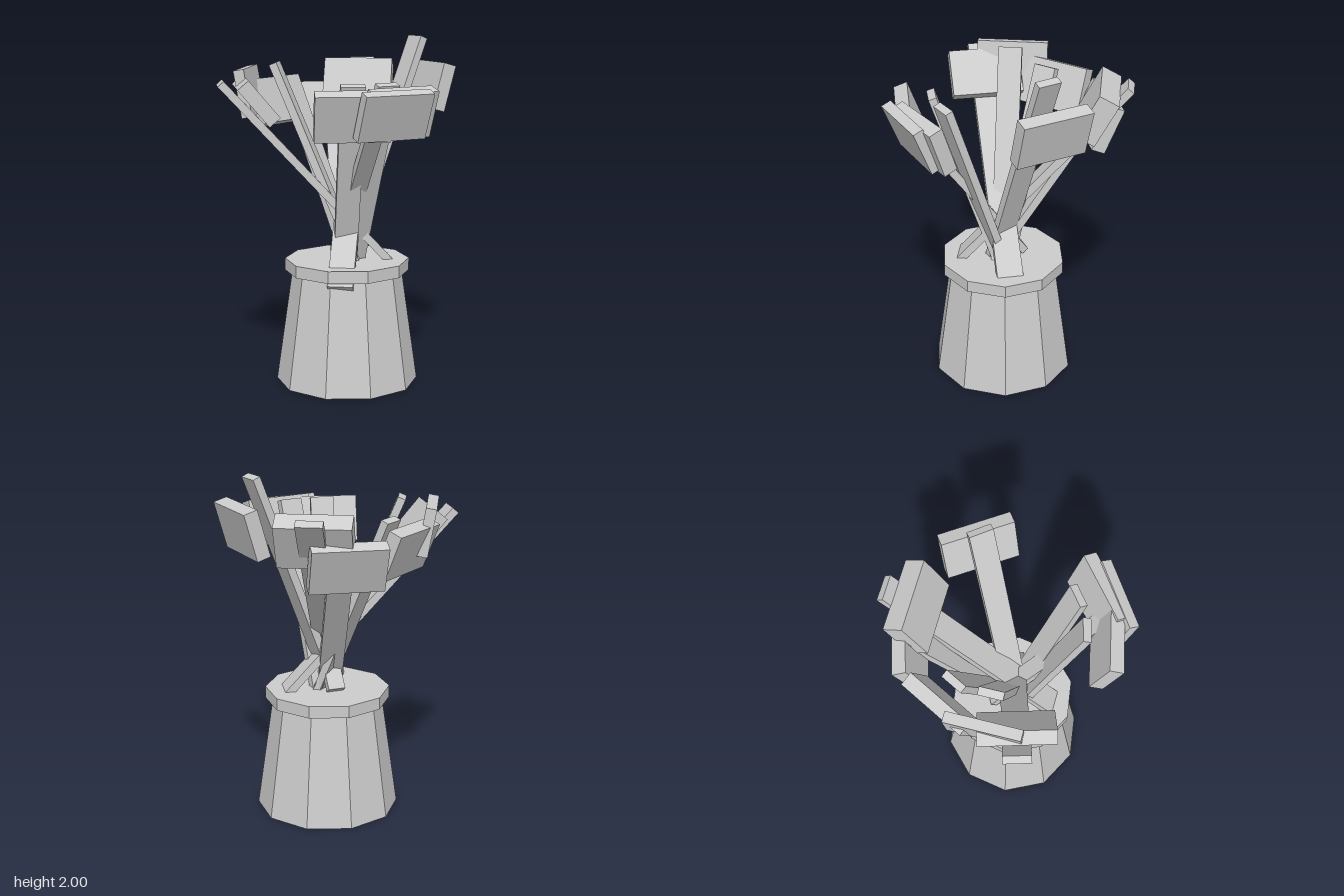
import * as THREE from 'three';

// One flat grey for everything
const grey = new THREE.MeshStandardMaterial({ color: 0xcccccc, flatShading: true });
const greyOpen = new THREE.MeshStandardMaterial({ color: 0xcccccc, flatShading: true, side: THREE.DoubleSide });
grey.name = 'grey';
greyOpen.name = 'grey two sided';

const HEAD_WIDTH = 0.41, HEAD_HEIGHT = 0.27, HANDLE_DEPTH = 0.045;

function addMesh(parent, name, geometry, material = grey) {
  const mesh = new THREE.Mesh(geometry, material);
  mesh.name = name;
  parent.add(mesh);
  return mesh;
}

// Flat bar from foot to tip, its broad side facing the lean direction
function addHandle(parent, foot, tip, width) {
  const a = new THREE.Vector3(...foot), b = new THREE.Vector3(...tip);
  const along = b.clone().sub(a), length = along.length();
  along.normalize();
  const side = new THREE.Vector3(0, 1, 0).cross(along).normalize();
  const normal = side.clone().cross(along);
  const bar = addMesh(parent, 'handle', new THREE.BoxGeometry(width, length, HANDLE_DEPTH));
  bar.quaternion.setFromRotationMatrix(new THREE.Matrix4().makeBasis(side, along, normal));
  bar.position.copy(a).add(b).multiplyScalar(0.5);
}

// Block head turned outward about the vertical, top leaning outward by tilt
function addHead(parent, centre, turn, tilt, depth) {
  const head = addMesh(parent, 'head', new THREE.BoxGeometry(HEAD_WIDTH, HEAD_HEIGHT, depth));
  head.rotation.set(tilt, turn, 0, 'YXZ');
  head.position.set(...centre);
}

// One tool: a leaning handle with a block head near its tip
function addTool(parent, name, { foot, tip, width = 0.135, head, turn, tilt, depth = 0.08 }) {
  const tool = new THREE.Group();
  tool.name = name;
  addHandle(tool, foot, tip, width);
  addHead(tool, head, turn, tilt, depth);
  parent.add(tool);
}

export function createModel() {
  const model = new THREE.Group();
  model.name = 'potOfTools';

  // Ten-sided pot, open underneath, with a solid lid slab
  const pot = addMesh(model, 'pot', new THREE.CylinderGeometry(0.317, 0.412, 0.66, 10, 1, true), greyOpen);
  pot.position.set(0, 0.33, -0.04);
  const lid = addMesh(model, 'lid', new THREE.CylinderGeometry(0.36, 0.36, 0.07, 10));
  lid.position.set(0, 0.69, -0.04);

  // Tools leaning back
  addTool(model, 'backTool', { foot: [0.01, 0.66, 0.02], tip: [0.07, 1.99, -0.5],
    head: [0.085, 1.71, -0.555], turn: 2.97, tilt: 0.28 });
  addTool(model, 'backRightTool', { foot: [0.23, 0.62, 0.18], tip: [-0.49, 1.83, -0.53], width: 0.145,
    head: [-0.372, 1.7, -0.405], turn: -2.345, tilt: 0.48, depth: 0.12 });

  // Tools leaning to the right and front right
  addTool(model, 'frontTool', { foot: [0.14, 0.65, -0.3], tip: [-0.33, 1.75, 0.6], width: 0.15,
    head: [-0.235, 1.65, 0.425], turn: -0.482, tilt: 0.7 });
  addTool(model, 'sideTool', { foot: [0.04, 0.66, -0.07], tip: [-0.41, 1.76, 0.08],
    head: [-0.5, 1.61, 0.115], turn: -1.246, tilt: 0.38 });
  addTool(model, 'tallTool', { foot: [0.05, 0.66, -0.1], tip: [-0.29, 1.85, 0.26],
    head: [-0.39, 1.69, 0.365], turn: -0.764, tilt: 0.17, depth: 0.06 });
  addTool(model, 'lowTool', { foot: [0.07, 0.66, 0.02], tip: [-0.5, 1.68, -0.32],
    head: [-0.49, 1.565, -0.28], turn: -2.039, tilt: 0.4 });

  // Tools leaning to the left and front left
  addTool(model, 'leftTool', { foot: [0.02, 0.68, -0.06], tip: [0.39, 1.76, -0.02],
    head: [0.51, 1.615, -0.005], turn: 1.49, tilt: 0.33 });
  addTool(model, 'frontLeftTool', { foot: [0.02, 0.68, -0.01], tip: [0.33, 1.76, 0.17],
    head: [0.42, 1.605, 0.24], turn: 1.013, tilt: 0.36 });
  addTool(model, 'outerLeftTool', { foot: [-0.12, 0.74, -0.07], tip: [0.54, 1.69, 0.13], width: 0.1,
    head: [0.545, 1.61, 0.06], turn: 1.4, tilt: 0.38, depth: 0.06 });
  return model;
}
